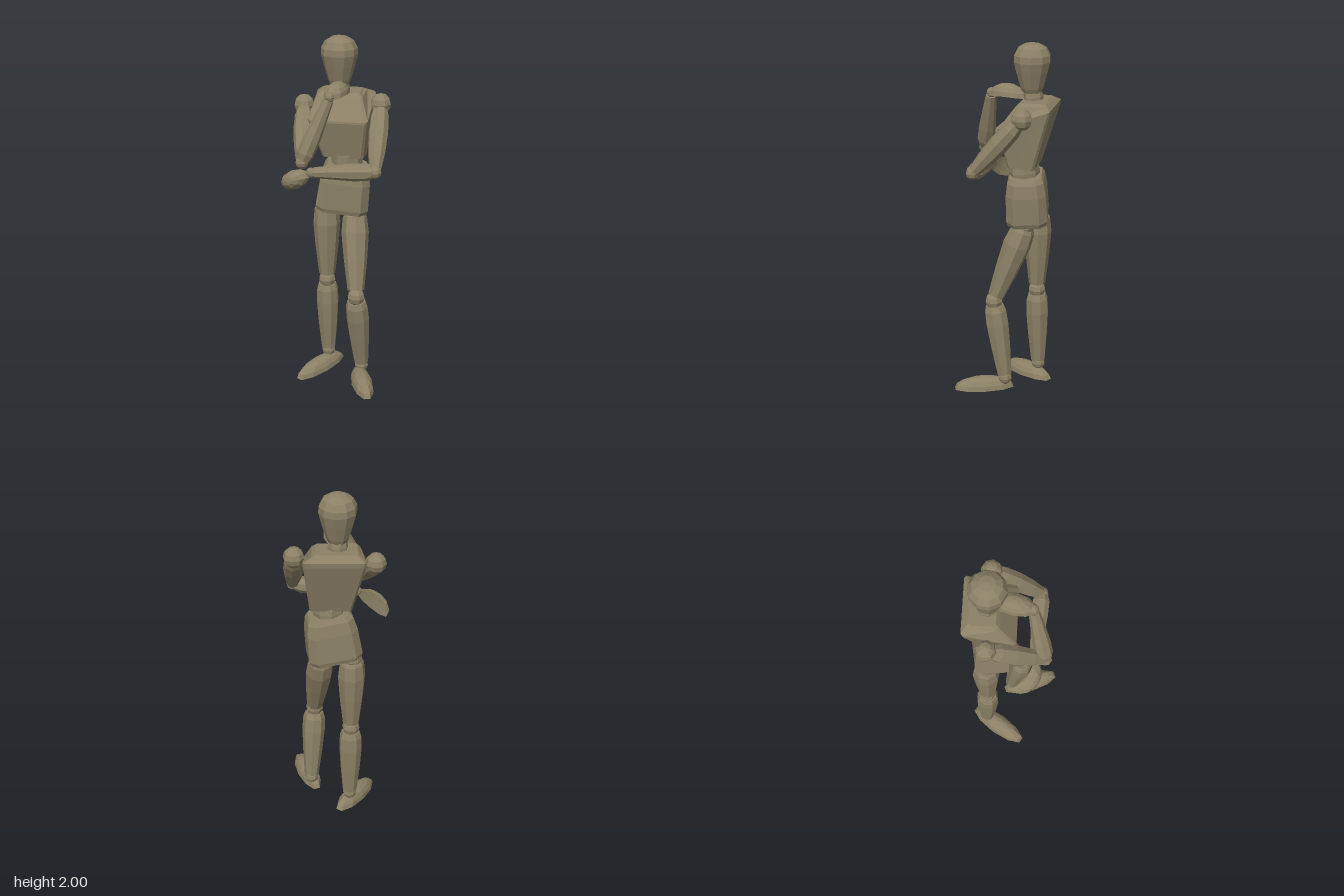
import * as THREE from 'three';

const material = new THREE.MeshStandardMaterial({ color: 0x8c8166, flatShading: true, side: THREE.DoubleSide });
const V = (p) => new THREE.Vector3(...p);

function add(parent, name, geometry) {
  const mesh = new THREE.Mesh(geometry, material);
  mesh.name = name;
  parent.add(mesh);
  return mesh;
}

function ball(parent, name, pos, r) {
  add(parent, name, new THREE.SphereGeometry(r, 8, 6)).position.set(...pos);
}

// Faceted limb turned around the line a-b; profile holds [fraction along, radius]
function limb(parent, name, a, b, profile) {
  const from = V(a), axis = V(b).sub(from), len = axis.length();
  const pts = profile.map(([t, r]) => new THREE.Vector2(r, t * len));
  pts.unshift(new THREE.Vector2(0, pts[0].y));
  pts.push(new THREE.Vector2(0, pts[pts.length - 1].y));
  const mesh = add(parent, name, new THREE.LatheGeometry(pts, 8, Math.PI / 8));
  mesh.position.copy(from);
  mesh.quaternion.setFromUnitVectors(new THREE.Vector3(0, 1, 0), axis.normalize());
}

// Flat-soled dome for hands and feet; bend curls both ends toward the sole
function dome(parent, name, center, dir, up, length, width, height, bend = 0) {
  const g = new THREE.SphereGeometry(1, 10, 8);
  const p = g.attributes.position;
  for (let i = 0; i < p.count; i++) {
    const z = p.getZ(i);
    p.setXYZ(i, p.getX(i) * width / 2, Math.max(p.getY(i), 0) * height - bend * z * z, z * length / 2);
  }
  const z = V(dir).normalize();
  const x = V(up).cross(z).normalize();
  const y = z.clone().cross(x);
  g.applyMatrix4(new THREE.Matrix4().makeBasis(x, y, z).setPosition(...center));
  add(parent, name, g);
}

// Body block from chamfered rectangles, bottom to top.
// Ring: y, x centre, z centre, half width, half depth, chamfer, drop of the front edge
function block(parent, name, rings) {
  const pos = [], index = [], n = 8;
  for (const [y, cx, cz, w, d, c, drop = 0] of rings) {
    const ring = [[w, d - c], [w - c, d], [c - w, d], [-w, d - c], [-w, c - d], [c - w, -d], [w - c, -d], [w, c - d]];
    for (const [x, z] of ring) pos.push(cx + x, y - drop * z / d, cz + z);
  }
  const last = rings.length - 1;
  for (let j = 0; j < n; j++) {
    const k = (j + 1) % n;
    for (let i = 0; i < last; i++) {
      const a = i * n + j, b = i * n + k;
      index.push(a, a + n, b, b, a + n, b + n);
    }
    if (j > 0 && j < n - 1) {
      index.push(0, j, k);
      index.push(last * n, last * n + k, last * n + j);
    }
  }
  const g = new THREE.BufferGeometry();
  g.setAttribute('position', new THREE.Float32BufferAttribute(pos, 3));
  g.setIndex(index);
  g.computeVertexNormals();
  return add(parent, name, g);
}

const THIGH = [[0.02, 0.058], [0.06, 0.068], [0.24, 0.077], [0.55, 0.066], [0.92, 0.047]];
const SHIN = [[0.06, 0.052], [0.13, 0.063], [0.3, 0.066], [0.6, 0.057], [0.95, 0.042]];
const UPPER_ARM = [[0.06, 0.036], [0.2, 0.05], [0.45, 0.054], [0.75, 0.046], [0.97, 0.032]];
const FOREARM = [[0.03, 0.036], [0.13, 0.047], [0.35, 0.047], [0.95, 0.029]];

const ARMS = [
  { side: 'left', shoulder: [0.19, 1.64, -0.145], elbow: [0.25, 1.34, 0.11], wrist: [-0.1, 1.305, 0.145],
    hand: [[-0.2, 1.25, 0.135], [-0.82, -0.45, -0.33], [-0.4, 0, 0.9], 0.215, 0.105, 0.06, 0.02] },
  { side: 'right', shoulder: [-0.23, 1.61, -0.085], elbow: [-0.125, 1.38, 0.205], wrist: [-0.005, 1.72, 0.11],
    hand: [[0, 1.718, 0.015], [0.03, 0, -1], [0, 1, 0], 0.225, 0.12, 0.062, 0.012] },
];

const LEGS = [
  { side: 'left', hip: [0.058, 1.01, -0.11], knee: [0.125, 0.565, 0.045], ankle: [0.135, 0.105, -0.025],
    foot: [[0.18, 0.04, 0.085], [0.5, 0, 0.87], [0, 1, 0], 0.35, 0.12, 0.07] },
  { side: 'right', hip: [-0.115, 1.035, -0.12], knee: [-0.113, 0.57, -0.118], ankle: [-0.11, 0.105, -0.13],
    foot: [[-0.132, 0.016, -0.055], [-0.4, -0.07, 0.92], [0, 1, 0], 0.37, 0.12, 0.07] },
];

export function createModel() {
  const model = new THREE.Group();
  model.name = 'posedMannequin';

  // Head and neck
  const headProfile = [[0, 1.735], [0.05, 1.735], [0.062, 1.76], [0.085, 1.84], [0.1, 1.9],
    [0.098, 1.935], [0.078, 1.972], [0.042, 1.993], [0, 2]];
  const head = add(model, 'head', new THREE.LatheGeometry(headProfile.map((p) => new THREE.Vector2(...p)), 10));
  head.position.set(-0.035, 0, -0.112);
  limb(model, 'neck', [-0.035, 1.66, -0.125], [-0.035, 1.76, -0.112], [[0, 0.05], [0.5, 0.054], [1, 0.045]]);

  // Chest, leaning back and turned slightly
  const chest = block(model, 'chest', [
    [1.347, 0.02, 0.022, 0.112, 0.072, 0.012, -0.005],
    [1.6, 0, 0.002, 0.16, 0.137, 0.012, 0.045],
    [1.62, 0, 0, 0.163, 0.138, 0.012, 0.053],
    [1.685, -0.007, -0.03, 0.125, 0.085, 0.012, 0.006],
    [1.7, -0.01, -0.033, 0.108, 0.068, 0.012, 0],
  ]);
  chest.position.set(-0.017, 0, -0.107);
  chest.rotation.y = 0.165;

  // Waist and pelvis
  limb(model, 'waist', [0.018, 1.25, -0.095], [0.018, 1.37, -0.085], [[0, 0.08], [0.5, 0.086], [1, 0.08]]);
  const pelvis = block(model, 'pelvis', [
    [-0.135, 0, 0, 0.138, 0.105, 0.04],
    [-0.11, 0, 0, 0.146, 0.112, 0.042],
    [0.04, 0, 0, 0.137, 0.108, 0.04],
    [0.11, 0, 0, 0.123, 0.098, 0.038],
    [0.135, 0, 0, 0.108, 0.086, 0.035],
  ]);
  pelvis.position.set(0, 1.165, -0.1);
  pelvis.rotation.set(0, 0.33, -0.125, 'ZYX');

  // Arms
  for (const { side, shoulder, elbow, wrist, hand } of ARMS) {
    const arm = new THREE.Group();
    arm.name = side + 'Arm';
    ball(arm, 'shoulder', shoulder, 0.057);
    limb(arm, 'upperArm', shoulder, elbow, UPPER_ARM);
    ball(arm, 'elbow', elbow, 0.036);
    limb(arm, 'forearm', elbow, wrist, FOREARM);
    ball(arm, 'wrist', wrist, 0.028);
    dome(arm, 'hand', ...hand);
    model.add(arm);
  }

  // Legs
  for (const { side, hip, knee, ankle, foot } of LEGS) {
    const leg = new THREE.Group();
    leg.name = side + 'Leg';
    ball(leg, 'hip', hip, 0.058);
    limb(leg, 'thigh', hip, knee, THIGH);
    ball(leg, 'knee', knee, 0.05);
    limb(leg, 'shin', knee, ankle, SHIN);
    ball(leg, 'ankle', ankle, 0.04);
    dome(leg, 'foot', ...foot);
    model.add(leg);
  }
  return model;
}
